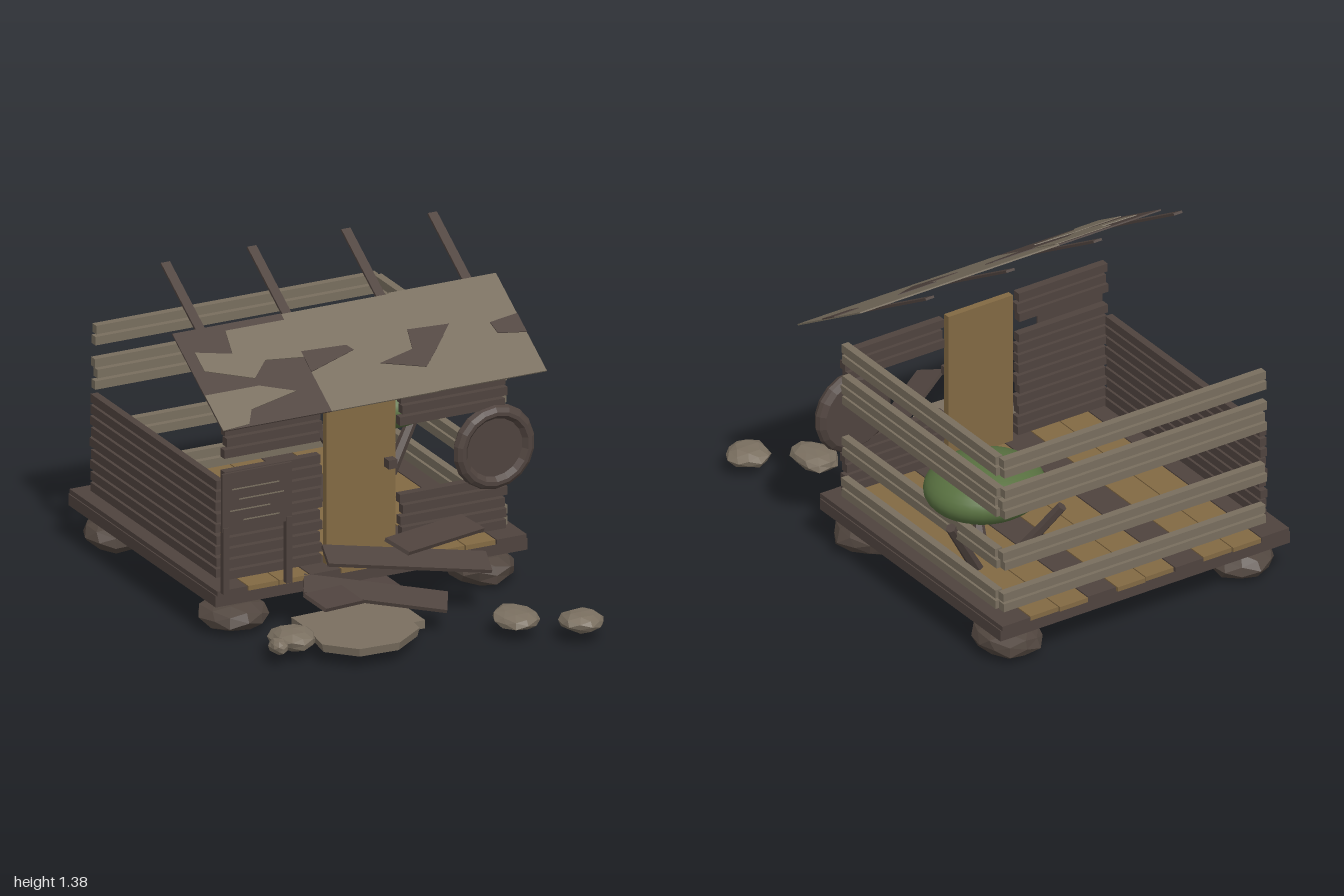
import * as THREE from 'three';

export function createModel() {
  const model = new THREE.Group();
  const mat = (name, color, double) => {
    const m = new THREE.MeshStandardMaterial({ color });
    m.name = name;
    m.flatShading = !double;
    if (double) m.side = THREE.DoubleSide;
    return m;
  };
  const dark = mat('darkWood', 0x4f433e);
  const grey = mat('weatheredWood', 0x786e5e);
  const tan = mat('tanWood', 0x826943);
  const rock = mat('foundationStone', 0x51463f);
  const pale = mat('paleStone', 0x7a6f60);
  const green = mat('foliage', 0x587040, true);

  const add = (name, geo, material, parent = model) => {
    const m = new THREE.Mesh(geo, material);
    m.name = name;
    parent.add(m);
    return m;
  };
  // Box given by its limits on each axis
  const box = (name, material, x0, x1, y0, y1, z0, z1, parent) => {
    const m = add(name, new THREE.BoxGeometry(x1 - x0, y1 - y0, z1 - z0), material, parent);
    m.position.set((x0 + x1) / 2, (y0 + y1) / 2, (z0 + z1) / 2);
    return m;
  };
  const group = (name) => {
    const g = new THREE.Group();
    g.name = name;
    model.add(g);
    return g;
  };

  // Faceted stone fitted between limits, roughened by a rule
  const stone = (name, material, x0, x1, y0, y1, z0, z1) => {
    const geo = new THREE.IcosahedronGeometry(1, 1);
    const p = geo.attributes.position;
    for (let i = 0; i < p.count; i++) {
      const x = p.getX(i), y = p.getY(i), z = p.getZ(i);
      const k = 0.95 + 0.07 * Math.sin(5 * x + 3 * y + 7 * z + x0 * 9 + z0 * 5);
      p.setXYZ(i, x * k, Math.max(-0.9, Math.min(0.85, y * k)), z * k);
    }
    geo.scale((x1 - x0) / 2, (y1 - y0) / 1.75, (z1 - z0) / 2);
    geo.computeVertexNormals();
    add(name, geo, material).position.set((x0 + x1) / 2, (y0 + y1) / 2, (z0 + z1) / 2);
  };

  // Platform: base, striped floor planks, piers on stones
  box('floorBase', dark, -0.71, 0.675, 0.154, 0.202, -0.985, 0.28);
  for (let i = 0; i < 10; i++) {
    const x = -0.705 + i * 0.138;
    box('floorPlank', i % 3 ? tan : dark, x, x + 0.133, 0.202, 0.222, -0.985 - 0.006 * (i % 2), 0.285);
  }
  for (const x of [-0.57, 0.54])
    for (const z of [0.145, -0.835]) {
      box('pier', dark, x - 0.045, x + 0.045, 0.1, 0.155, z - 0.045, z + 0.045);
      stone('foundationRock', rock, x - 0.145, x + 0.145, 0.005, 0.13, z - 0.155, z + 0.155);
    }

  // Walls: rows of square timbers with some rows missing
  const rowY = (r) => 0.24 + r * 0.0468;
  const wall = (name, rows, material, x0, x1, z0, z1) => {
    const g = group(name);
    for (const r of rows) {
      const j = 0.006 * Math.sin(r * 2.7);
      const alongX = x1 - x0 > z1 - z0;
      box('timber', material, x0 + (alongX ? j : 0), x1 + (alongX ? j : 0), rowY(r), rowY(r) + 0.036,
        z0 + (alongX ? 0 : j), z1 + (alongX ? 0 : j), g);
    }
  };
  const open = [0, 1, 4, 5, 9, 10, 11, 13, 14];
  wall('rightWall', open, grey, 0.597, 0.63, -0.885, 0.195);
  wall('backWall', open, grey, -0.635, 0.618, -0.925, -0.892);
  wall('leftWall', [0, 1, 2, 3, 4, 5, 6, 7, 8], dark, -0.662, -0.63, -0.89, 0.19);
  wall('frontWallLeft', [0, 1, 2, 3, 4, 5, 6, 7, 8, 9, 11, 12, 13], dark, -0.64, -0.215, 0.195, 0.23);
  wall('frontWallRight', [0, 1, 2, 3, 4, 11, 12, 13], dark, 0.142, 0.607, 0.195, 0.23);

  // Door with a square knob
  box('door', tan, -0.19, 0.118, 0.225, 0.888, 0.195, 0.225);
  box('doorKnob', dark, 0.067, 0.105, 0.595, 0.632, 0.225, 0.265);

  // Wheel hung on the front wall
  const rim = [[0, -0.03], [0.15, -0.03], [0.172, -0.015], [0.18, 0], [0.172, 0.02], [0.155, 0.033],
    [0.14, 0.033], [0.122, 0.012], [0, 0.012]].map(([x, y]) => new THREE.Vector2(x, y));
  const wheel = add('wheel', new THREE.LatheGeometry(rim, 18), dark);
  wheel.rotation.x = Math.PI / 2;
  wheel.position.set(0.555, 0.592, 0.223);

  // Tilted porch roof: three panels, worn patches, bare rafters
  const roof = group('roof');
  roof.position.set(0, 1.0775, 0.18);
  roof.rotation.x = -1.029;
  const slope = 1.94;
  box('leftRoofPanel', dark, -0.74, -0.257, -0.257, 0.253, -0.003, 0.003, roof);
  box('middleRoofPanel', grey, -0.257, 0.22, -0.257, 0.25, -0.003, 0.003, roof);
  box('rightRoofPanel', grey, 0.22, 0.70, -0.255, 0.256, -0.003, 0.003, roof);
  const patch = (material, pts) => {
    const s = new THREE.Shape(pts.map(([x, y]) => new THREE.Vector2(x, (y - 1.0775) * slope)));
    add('wornPatch', new THREE.ExtrudeGeometry(s, { depth: 0.004, bevelEnabled: false }), material, roof)
      .position.z = 0.002;
  };
  patch(grey, [[-0.69, 1.15], [-0.54, 1.13], [-0.52, 1.19], [-0.257, 1.19], [-0.257, 1.09], [-0.42, 1.1],
    [-0.5, 1.06], [-0.69, 1.1]]);
  patch(grey, [[-0.74, 1.04], [-0.5, 1.04], [-0.36, 1.01], [-0.58, 0.985], [-0.62, 0.95], [-0.74, 0.945]]);
  patch(dark, [[-0.257, 1.105], [-0.06, 1.1], [-0.04, 1.085], [-0.257, 1.05]]);
  patch(dark, [[0.04, 1.04], [0.2, 1.06], [0.22, 1.11], [0.4, 1.105], [0.3, 1.05], [0.22, 1.01]]);
  patch(dark, [[0.7, 1.1], [0.57, 1.09], [0.58, 1.06], [0.7, 1.05]]);
  for (const x of [-0.612, -0.228, 0.19, 0.575])
    box('rafter', dark, x - 0.02, x + 0.02, -0.23, 0.606, -0.014, -0.004, roof);

  // Signboard on two posts
  box('signBoard', dark, -0.713, -0.403, 0.492, 0.738, 0.333, 0.343);
  for (const x of [-0.697, -0.418]) box('signPost', dark, x - 0.013, x + 0.013, 0.23, 0.51, 0.322, 0.348);
  [[-0.67, -0.46, 0.665], [-0.64, -0.44, 0.62], [-0.68, -0.5, 0.575], [-0.62, -0.46, 0.53]].forEach(
    ([a, b, y]) => box('signScratch', grey, a, b, y, y + 0.005, 0.342, 0.345));

  // Bush on three leaning trunks growing through the floor
  const bush = add('bush', new THREE.SphereGeometry(1, 32, 20), green);
  bush.scale.set(0.25, 0.118, 0.232);
  bush.position.set(0.44, 0.573, -0.53);
  const root = new THREE.Vector3(0.42, 0.11, -0.52);
  [[0.31, 0.34, -0.27], [0.2, 0.49, -0.72], [0.65, 0.48, -0.6]].forEach((e) => {
    const end = new THREE.Vector3(...e);
    const dir = end.clone().sub(root);
    const t = add('trunk', new THREE.CylinderGeometry(0.022, 0.028, dir.length(), 6), dark);
    t.position.copy(root).add(end).multiplyScalar(0.5);
    t.quaternion.setFromUnitVectors(new THREE.Vector3(0, 1, 0), dir.normalize());
  });

  // Fallen boards in front of the door
  [[-0.06, 0.4, 0.58, 0.42, 0.32, 0.3], [-0.4, 0.205, 0.53, 0.08, 0.12, 0.3],
    [-0.25, 0.31, 0.33, 0.41, 0.21, 0.46], [-0.34, 0.2, 0.32, 0.17, 0.12, 0.57]].forEach((b) => {
    const a = new THREE.Vector3(...b.slice(0, 3)), c = new THREE.Vector3(...b.slice(3));
    const x = c.clone().sub(a), len = x.length();
    x.normalize();
    const z = x.clone().cross(new THREE.Vector3(0, 1, 0.35)).normalize();
    const m = add('fallenBoard', new THREE.BoxGeometry(len, 0.016, 0.12), dark);
    m.quaternion.setFromRotationMatrix(new THREE.Matrix4().makeBasis(x, z.clone().cross(x), z));
    m.position.copy(a).add(c).multiplyScalar(0.5);
  });

  // Paving slabs and loose stones
  const slab = add('pavingStone', new THREE.CylinderGeometry(1, 0.96, 0.035, 8), pale);
  slab.scale.set(0.235, 1, 0.2);
  slab.rotation.y = 0.3;
  slab.position.set(-0.225, 0.075, 0.62);
  box('steppingSlab', pale, -0.4, 0.045, 0.045, 0.08, 0.33, 0.62).rotation.z = 0.02;
  stone('looseStone', pale, -0.6, -0.4, 0.04, 0.12, 0.43, 0.65);
  stone('looseStone', pale, -0.635, -0.555, 0.05, 0.11, 0.55, 0.65);
  stone('looseStone', pale, 0.29, 0.475, 0.04, 0.115, 0.62, 0.86);
  stone('looseStone', pale, 0.5, 0.69, 0.045, 0.12, 0.805, 1.0);

  return model;
}
